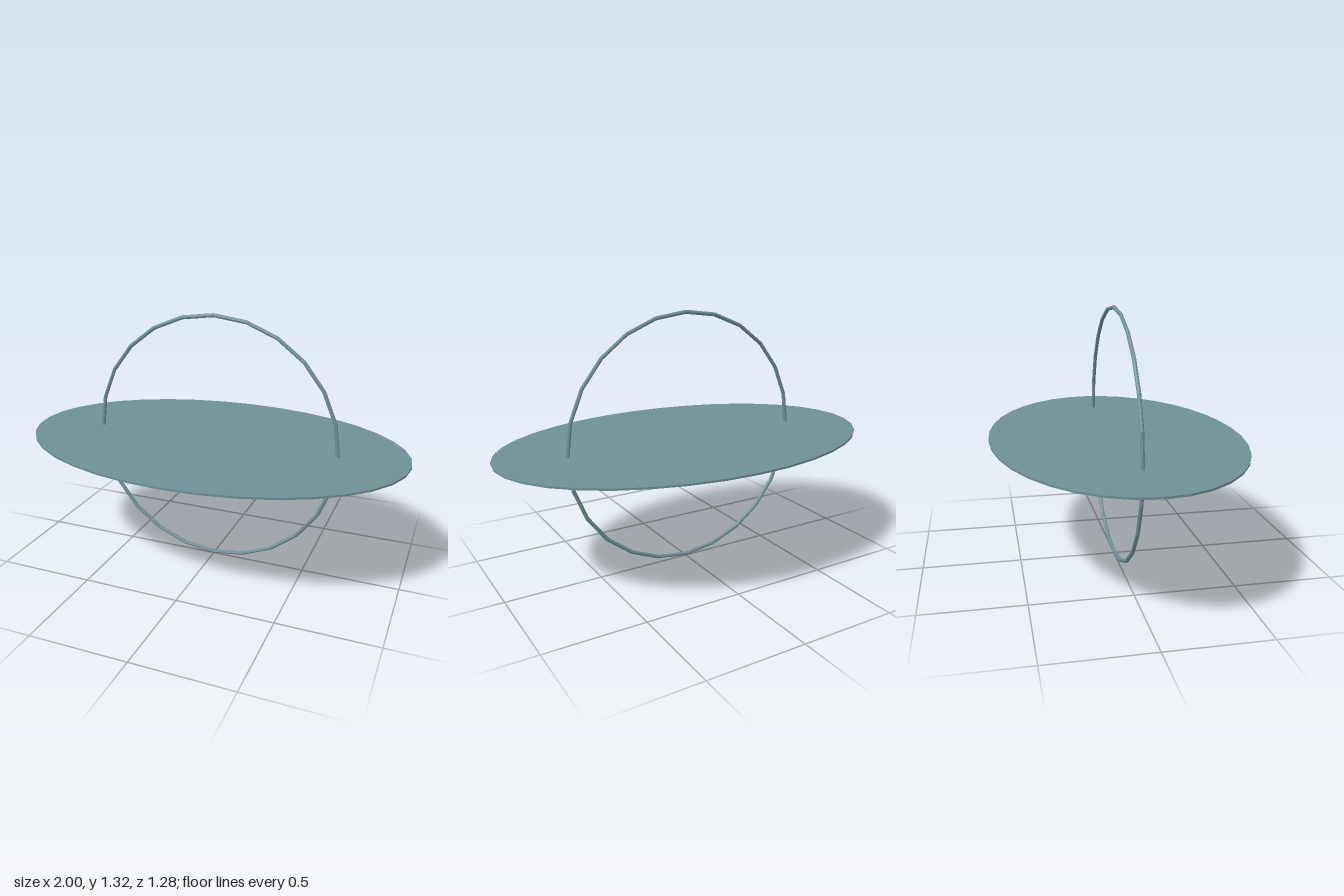
import * as THREE from 'three';

export function createModel() {
  const model = new THREE.Group();
  const material = new THREE.MeshStandardMaterial({ color: 0x6f9095, flatShading: true });
  const centreY = 0.66;

  // Thin horizontal oval plate
  const plate = new THREE.Mesh(new THREE.CylinderGeometry(1, 1, 0.01, 36), material);
  plate.name = 'ovalPlate';
  plate.scale.z = 0.64;
  plate.position.y = centreY;
  model.add(plate);

  // Upright slender ring passing through the plate
  const ring = new THREE.Mesh(new THREE.TorusGeometry(0.65, 0.01, 8, 24), material);
  ring.name = 'uprightRing';
  ring.position.y = centreY;
  model.add(ring);

  return model;
}
